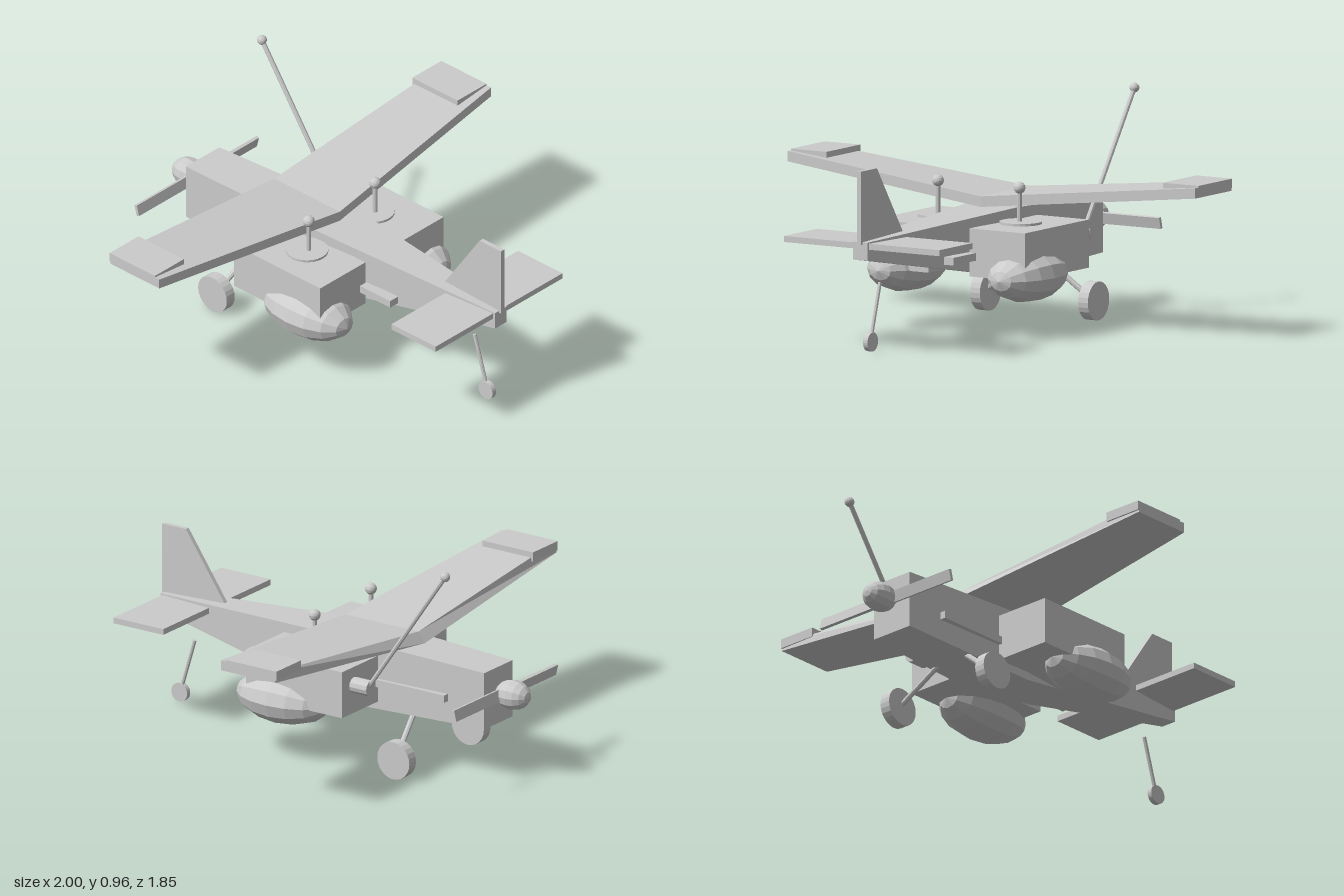
import * as THREE from 'three';

const material = new THREE.MeshStandardMaterial({ color: 0xcccccc, flatShading: true });

function add(parent, name, geometry, x = 0, y = 0, z = 0) {
  const mesh = new THREE.Mesh(geometry, material);
  mesh.name = name;
  mesh.position.set(x, y, z);
  parent.add(mesh);
  return mesh;
}

// Box given by its lower and upper limits on each axis
function addBox(parent, name, [x0, x1], [y0, y1], [z0, z1]) {
  return add(parent, name, new THREE.BoxGeometry(x1 - x0, y1 - y0, z1 - z0),
    (x0 + x1) / 2, (y0 + y1) / 2, (z0 + z1) / 2);
}

// Round bar between two points
function addRod(parent, name, from, to, radius) {
  const a = new THREE.Vector3(...from), b = new THREE.Vector3(...to);
  const dir = b.clone().sub(a);
  const rod = add(parent, name, new THREE.CylinderGeometry(radius, radius, dir.length(), 8));
  rod.position.copy(a).add(b).multiplyScalar(0.5);
  rod.quaternion.setFromUnitVectors(new THREE.Vector3(0, 1, 0), dir.normalize());
  return rod;
}

function addEllipsoid(parent, name, centre, radii, w = 12, h = 8) {
  const geometry = new THREE.SphereGeometry(1, w, h);
  geometry.rotateX(Math.PI / 2).scale(...radii);
  return add(parent, name, geometry, ...centre);
}

// Wheel with its axle along x
function addWheel(parent, name, centre, radius, width) {
  const geometry = new THREE.CylinderGeometry(radius, radius, width, 24).rotateZ(Math.PI / 2);
  return add(parent, name, geometry, ...centre);
}

// Solid through four-cornered sections, corners counterclockwise seen from the last end
function loft(sections) {
  const index = [];
  const last = (sections.length - 1) * 4;
  for (let s = 0; s < last; s += 4) {
    for (let k = 0; k < 4; k++) {
      const a = s + k, b = s + (k + 1) % 4;
      index.push(a, b, b + 4, a, b + 4, a + 4);
    }
  }
  index.push(0, 2, 1, 0, 3, 2, last, last + 1, last + 2, last, last + 2, last + 3);
  const geometry = new THREE.BufferGeometry();
  geometry.setAttribute('position', new THREE.Float32BufferAttribute(sections.flat(2), 3));
  geometry.setIndex(index);
  const flat = geometry.toNonIndexed();
  flat.computeVertexNormals();
  return flat;
}

export function createModel() {
  const plane = new THREE.Group();
  plane.name = 'aircraft';

  // Fuselage: z, half width, bottom, top
  const body = [[-0.77, 0.1, 0.23, 0.475], [-0.08, 0.122, 0.214, 0.5], [0.91, 0.035, 0.39, 0.465]];
  add(plane, 'fuselage', loft(body.map(([z, w, b, t]) => [[w, b, z], [w, t, z], [-w, t, z], [-w, b, z]])));

  // Wing with dihedral: x, bottom, top, lower leading edge, upper leading edge, trailing edge
  const wing = [[-1, 0.605, 0.648, -0.355, -0.345, -0.08], [0, 0.503, 0.547, -0.4, -0.367, 0.003],
    [1, 0.605, 0.648, -0.355, -0.345, -0.08]];
  add(plane, 'wing', loft(wing.map(([x, b, t, lowLead, topLead, trail]) =>
    [[x, b, lowLead], [x, t, topLead], [x, t, trail], [x, b, trail]])));

  // Tail surfaces
  addBox(plane, 'tailplane', [-0.382, 0.382], [0.435, 0.46], [0.65, 0.9]);
  const finShape = new THREE.Shape([[0.92, 0.455], [0.92, 0.76], [0.8, 0.76], [0.605, 0.475], [0.605, 0.455]]
    .map(([z, y]) => new THREE.Vector2(-z, y)));
  const fin = new THREE.ExtrudeGeometry(finShape, { depth: 0.02, bevelEnabled: false });
  fin.translate(0, 0, -0.01).rotateY(Math.PI / 2);
  add(plane, 'tailFin', fin);

  // Propeller, its two blades pitched in opposite directions
  addEllipsoid(plane, 'spinner', [0, 0.368, -0.845], [0.063, 0.063, 0.08]);
  for (const s of [-1, 1]) {
    const blade = addBox(plane, 'propellerBlade', [Math.min(0, s * 0.362), Math.max(0, s * 0.362)],
      [0.344, 0.392], [-0.81, -0.796]);
    blade.rotation.x = s * 0.25;
  }

  for (const s of [-1, 1]) {
    const side = new THREE.Group();
    side.name = s > 0 ? 'leftSide' : 'rightSide';
    plane.add(side);
    const span = (a, b) => (s > 0 ? [a, b] : [-b, -a]);

    addBox(side, 'wingTipPlate', span(0.825, 1), [0.615, 0.655], [-0.36, -0.105]);
    addBox(side, 'sideRail', span(0.085, 0.132), [0.318, 0.35], [-0.59, 0.41]);

    // Side pod with its rounded belly tank
    addBox(side, 'sidePod', span(0.1, 0.372), [0.25, 0.45], [-0.245, 0.24]);
    addEllipsoid(side, 'bellyTank', [s * 0.296, 0.252, 0.1], [0.135, 0.108, 0.222]);

    // Disc, post and ball on top of the pod
    add(side, 'podDisc', new THREE.CylinderGeometry(0.088, 0.088, 0.012, 24), s * 0.2, 0.454, 0.005);
    addRod(side, 'podPost', [s * 0.2, 0.45, 0.015], [s * 0.2, 0.6, 0.015], 0.01);
    addEllipsoid(side, 'podBall', [s * 0.2, 0.6, 0.015], [0.025, 0.025, 0.025]);

    // Main landing gear
    addRod(side, 'gearStrut', [s * 0.06, 0.245, -0.4], [s * 0.26, 0.085, -0.442], 0.012);
    addWheel(side, 'mainWheel', [s * 0.265, 0.081, -0.445], 0.081, 0.048);
  }

  // Tail wheel
  addRod(plane, 'tailStrut', [0, 0.28, 0.762], [0, 0.05, 0.832], 0.008);
  addWheel(plane, 'tailWheel', [0, 0.042, 0.833], 0.04, 0.022);

  // Long probe on the left side
  add(plane, 'probeBase', new THREE.CylinderGeometry(0.034, 0.034, 0.085, 12).rotateX(Math.PI / 2), 0.293, 0.375, -0.292);
  addRod(plane, 'probeRod', [0.293, 0.375, -0.32], [0.293, 0.937, -0.71], 0.01);
  addEllipsoid(plane, 'probeBall', [0.293, 0.937, -0.71], [0.021, 0.021, 0.021]);

  return plane;
}
